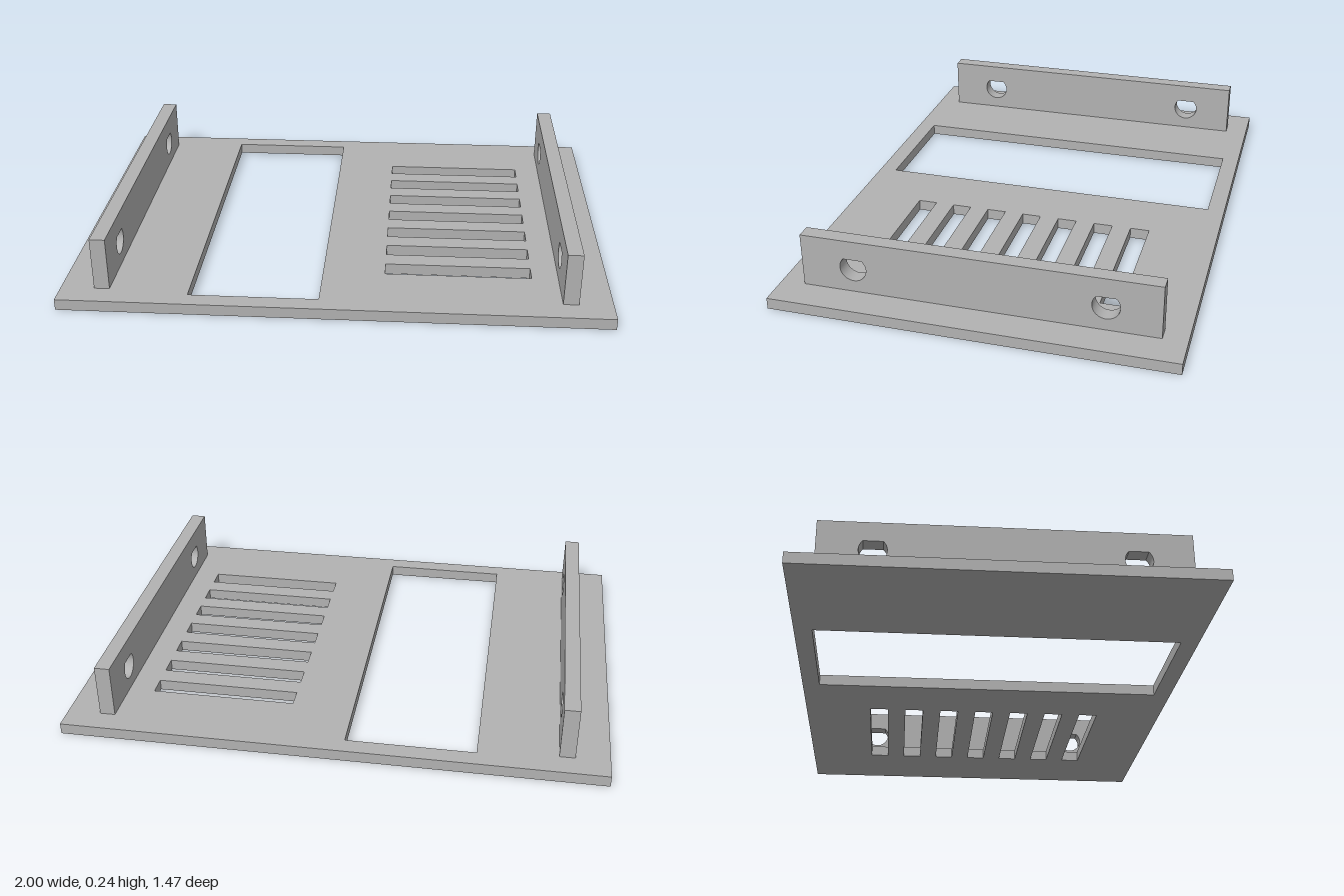
import * as THREE from 'three';

const PLATE_H = 0.042, RAIL_TOP = 0.243, RAIL_W = 0.057;

// Rectangular outline centred on (cx, cy)
function rect(Type, cx, cy, w, h) {
  const x = w / 2, y = h / 2;
  return new Type([[-x, -y], [x, -y], [x, y], [-x, y]].map(([a, b]) => new THREE.Vector2(cx + a, cy + b)));
}

// Round hole with a 45 degree pointed top
function teardrop(cx, cy, r) {
  const hole = new THREE.Path();
  hole.moveTo(cx, cy + r * Math.SQRT2);
  hole.absarc(cx, cy, r, Math.PI * 0.75, Math.PI * 2.25, false);
  hole.closePath();
  return hole;
}

export function createModel() {
  const model = new THREE.Group();
  model.name = 'ventedPanel';
  const grey = new THREE.MeshStandardMaterial({ color: 0xb2b2b2 });
  grey.name = 'grey';

  // Base plate with a large window and seven vent slots
  const plate = rect(THREE.Shape, 0, 0, 2, 1.47);
  plate.holes.push(rect(THREE.Path, -0.291, 0, 0.476, 1.338));
  for (let i = -3; i <= 3; i++) {
    plate.holes.push(rect(THREE.Path, 0.45, i * 0.1455, 0.543, 0.073));
  }
  const plateGeo = new THREE.ExtrudeGeometry(plate, { depth: PLATE_H, bevelEnabled: false });
  plateGeo.rotateX(-Math.PI / 2);
  const base = new THREE.Mesh(plateGeo, grey);
  base.name = 'basePlate';
  model.add(base);

  // Upright side rails, each with two teardrop holes
  const rail = rect(THREE.Shape, 0, (PLATE_H + RAIL_TOP) / 2, 1.294, RAIL_TOP - PLATE_H);
  for (const z of [-0.454, 0.454]) rail.holes.push(teardrop(z, 0.135, 0.049));
  const railGeo = new THREE.ExtrudeGeometry(rail, { depth: RAIL_W, bevelEnabled: false, curveSegments: 32 });
  railGeo.translate(0, 0, -RAIL_W / 2);
  railGeo.rotateY(-Math.PI / 2);
  for (const side of [1, -1]) {
    const mesh = new THREE.Mesh(railGeo, grey);
    mesh.name = side > 0 ? 'leftRail' : 'rightRail';
    mesh.position.x = side * 0.848;
    model.add(mesh);
  }
  return model;
}
